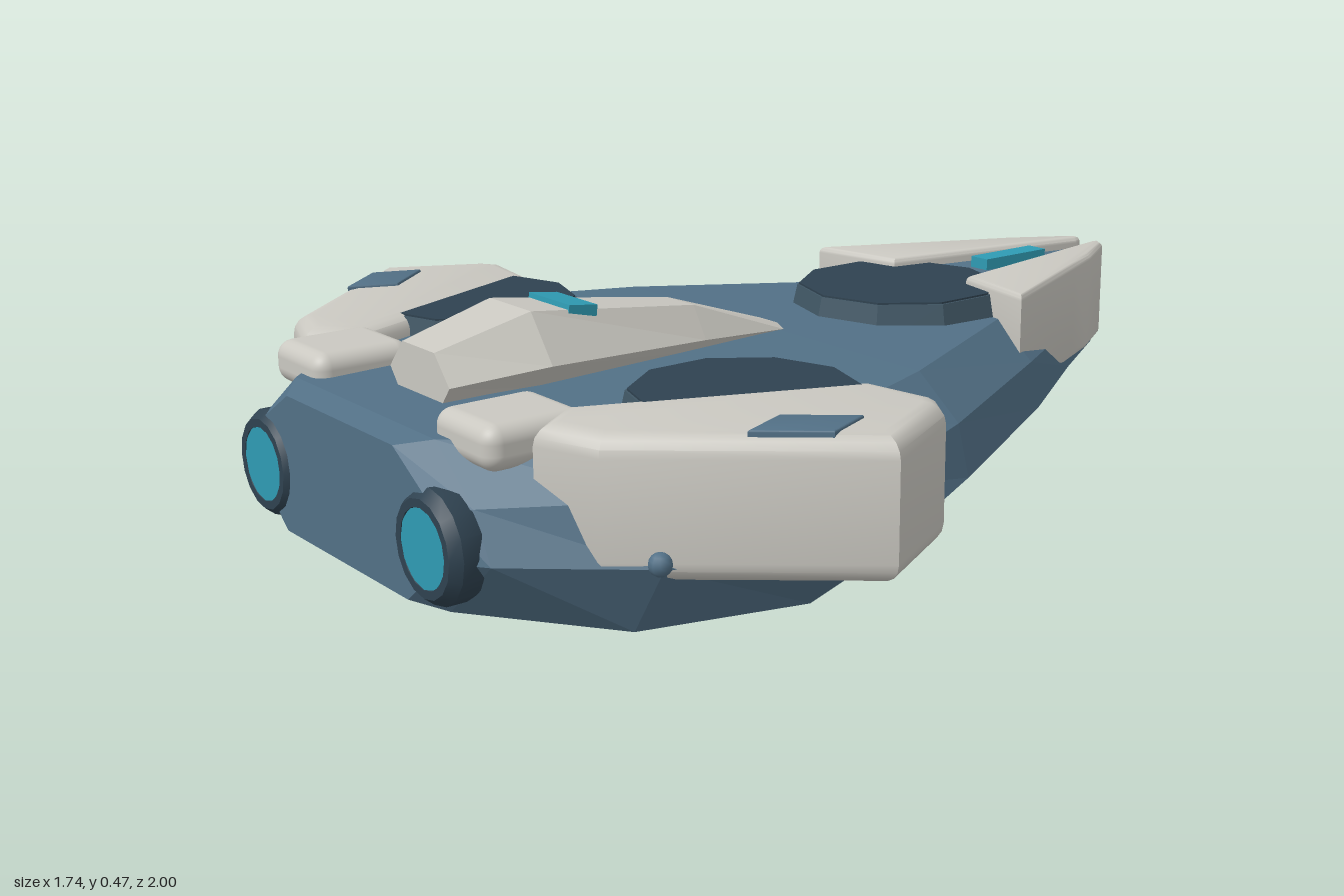
import * as THREE from 'three';
import { toCreasedNormals } from 'three/addons/utils/BufferGeometryUtils.js';
import { RoundedBoxGeometry } from 'three/addons/geometries/RoundedBoxGeometry.js';

const mat = (color, flatShading = false) => new THREE.MeshStandardMaterial({ color, flatShading });
const BLUE = 0x527086, SLATE = 0x2f4250, RIM = 0x405664, PALE = 0xcac8c1, CYAN = 0x2f9bb3;

// Loft of mirrored sections. Each section: { z, half: [[x, y], ...] }, right half from bottom to top.
function loft(sections) {
  const pos = [], idx = [];
  const n = sections[0].half.length * 2;
  for (const { z, half } of sections) {
    for (const [x, y] of half) pos.push(x, y, z);
    for (const [x, y] of [...half].reverse()) pos.push(-x, y, z);
  }
  for (let s = 0; s < sections.length - 1; s++) {
    for (let i = 0; i < n; i++) {
      const a = s * n + i, b = s * n + (i + 1) % n;
      idx.push(a, b, b + n, a, b + n, a + n);
    }
  }
  const last = (sections.length - 1) * n;
  for (let i = 1; i < n - 1; i++) {
    idx.push(0, i + 1, i, last, last + i, last + i + 1);
  }
  const g = new THREE.BufferGeometry();
  g.setAttribute('position', new THREE.Float32BufferAttribute(pos, 3));
  g.setIndex(idx);
  const flat = g.toNonIndexed();
  flat.computeVertexNormals();
  return flat;
}

// Slab with a plan outline of [x, z] points between two heights, with rounded edges
function slab(points, y0, y1, bevel, side = 1) {
  const shape = new THREE.Shape(points.map(([x, z]) => new THREE.Vector2(x * side, z)));
  const g = new THREE.ExtrudeGeometry(shape, {
    depth: y1 - y0 - 2 * bevel, bevelEnabled: bevel > 0, bevelThickness: bevel,
    bevelSize: bevel, bevelOffset: -bevel, bevelSegments: 4,
  });
  g.rotateX(Math.PI / 2).translate(0, y1 - bevel, 0);
  return toCreasedNormals(g, 0.6);
}

export function createModel() {
  const model = new THREE.Group();
  const add = (name, geometry, color, flat = false) => {
    const mesh = new THREE.Mesh(geometry, mat(color, flat));
    mesh.name = name;
    model.add(mesh);
    return mesh;
  };

  // Wedge hull: z, bottom width and y, widest point, shoulder, deck
  const hullRows = [
    [-0.97, 0.02, 0.135, 0.045, 0.15, 0.04, 0.19, 0.025, 0.22],
    [-0.75, 0.10, 0.11, 0.175, 0.15, 0.15, 0.22, 0.09, 0.27],
    [-0.45, 0.22, 0.075, 0.365, 0.15, 0.34, 0.245, 0.24, 0.32],
    [0.0, 0.44, 0.03, 0.61, 0.15, 0.58, 0.25, 0.47, 0.33],
    [0.4, 0.62, 0.0, 0.80, 0.14, 0.75, 0.25, 0.62, 0.33],
    [0.72, 0.53, 0.0, 0.62, 0.14, 0.58, 0.25, 0.46, 0.33],
    [0.94, 0.29, 0.018, 0.43, 0.14, 0.38, 0.23, 0.26, 0.325],
    [0.99, 0.23, 0.035, 0.36, 0.14, 0.33, 0.23, 0.20, 0.31],
  ];
  const hull = hullRows.map(([z, ...r]) => ({
    z, half: [0, 2, 4, 6].map((i) => [r[i], r[i + 1]]),
  }));
  add('hull', loft(hull), BLUE, true);

  // Raised spine between the nose plates, with a light strip
  add('noseSpine', slab([[-0.03, -0.965], [0.03, -0.965], [0.10, -0.58], [-0.10, -0.58]], 0.18, 0.365, 0.012), BLUE);
  const strip = add('noseLight', new THREE.BoxGeometry(0.05, 0.03, 0.19), CYAN);
  strip.position.set(0, 0.375, -0.725);

  // Three round pads: a ten-sided rim with a dark top
  const pad = (name, x, z, r) => {
    const rim = add(name + 'Rim', new THREE.CylinderGeometry(r - 0.02, r, 0.09, 10), RIM, true);
    rim.position.set(x, 0.322, z);
    const top = add(name + 'Top', new THREE.CylinderGeometry(r - 0.024, r - 0.024, 0.01, 10), SLATE, true);
    top.position.set(x, 0.366, z);
  };
  pad('frontPad', 0, -0.38, 0.243);
  pad('leftPad', 0.46, 0.42, 0.235);
  pad('rightPad', -0.46, 0.42, 0.235);

  // Faceted dorsal canopy, hexagonal in section
  const canopyRows = [
    [-0.01, 0.04, 0.322, 0.05, 0.33, 0.028, 0.34],
    [0.22, 0.06, 0.322, 0.085, 0.35, 0.045, 0.415],
    [0.62, 0.09, 0.322, 0.142, 0.375, 0.072, 0.467],
    [0.82, 0.08, 0.325, 0.108, 0.36, 0.058, 0.417],
  ];
  const canopy = canopyRows.map(([z, ...r]) => ({
    z, half: [0, 2, 4].map((i) => [r[i], r[i + 1]]),
  }));
  add('canopy', loft(canopy), PALE, true);
  const band = add('canopyLight', new THREE.BoxGeometry(0.14, 0.025, 0.065), CYAN);
  band.position.set(0, 0.449, 0.502);
  band.rotation.x = -0.13;

  // Paired parts
  for (const [side, label] of [[1, 'left'], [-1, 'right']]) {
    // Nose armour plate
    add(label + 'NosePlate', slab([
      [0.022, -0.98], [0.03, -1.0], [0.055, -0.985], [0.13, -0.86], [0.175, -0.76],
      [0.325, -0.43], [0.115, -0.475],
    ], 0.165, 0.39, 0.014, side), PALE);

    // Shoulder armour pod with its blue panel and small port
    add(label + 'Pod', slab([
      [0.56, 0.21], [0.72, 0.185], [0.765, 0.215], [0.87, 0.42],
      [0.55, 0.80], [0.42, 0.845], [0.34, 0.74],
    ], 0.11, 0.372, 0.04, side), PALE);
    add(label + 'PodPanel', slab([
      [0.745, 0.39], [0.785, 0.49], [0.692, 0.6], [0.652, 0.5],
    ], 0.335, 0.378, 0.004, side), BLUE);
    const port = add(label + 'PodPort', new THREE.SphereGeometry(0.022, 10, 8), BLUE);
    port.position.set(0.615 * side, 0.15, 0.725);

    // Rounded block behind the pod
    const block = add(label + 'PodBlock', new RoundedBoxGeometry(0.19, 0.085, 0.21, 4, 0.032), PALE);
    block.position.set(0.305 * side, 0.328, 0.815);

    // Engine: dark ring and glowing disc
    const ring = [[0.08, 0], [0.105, 0.0], [0.105, 0.04], [0.097, 0.055], [0.106, 0.07], [0.106, 0.11], [0.09, 0.13], [0.074, 0.13], [0.07, 0.118]];
    const housing = add(label + 'EngineRing', toCreasedNormals(new THREE.LatheGeometry(
      ring.map(([r, h]) => new THREE.Vector2(r, h)), 16).rotateX(Math.PI / 2), 0.6), SLATE);
    housing.material.side = THREE.DoubleSide;
    housing.position.set(0.305 * side, 0.152, 0.87);
    const glow = add(label + 'EngineGlow', new THREE.CylinderGeometry(0.074, 0.074, 0.1, 12).rotateX(Math.PI / 2), CYAN, true);
    glow.position.set(0.305 * side, 0.152, 0.949);
  }
  return model;
}
